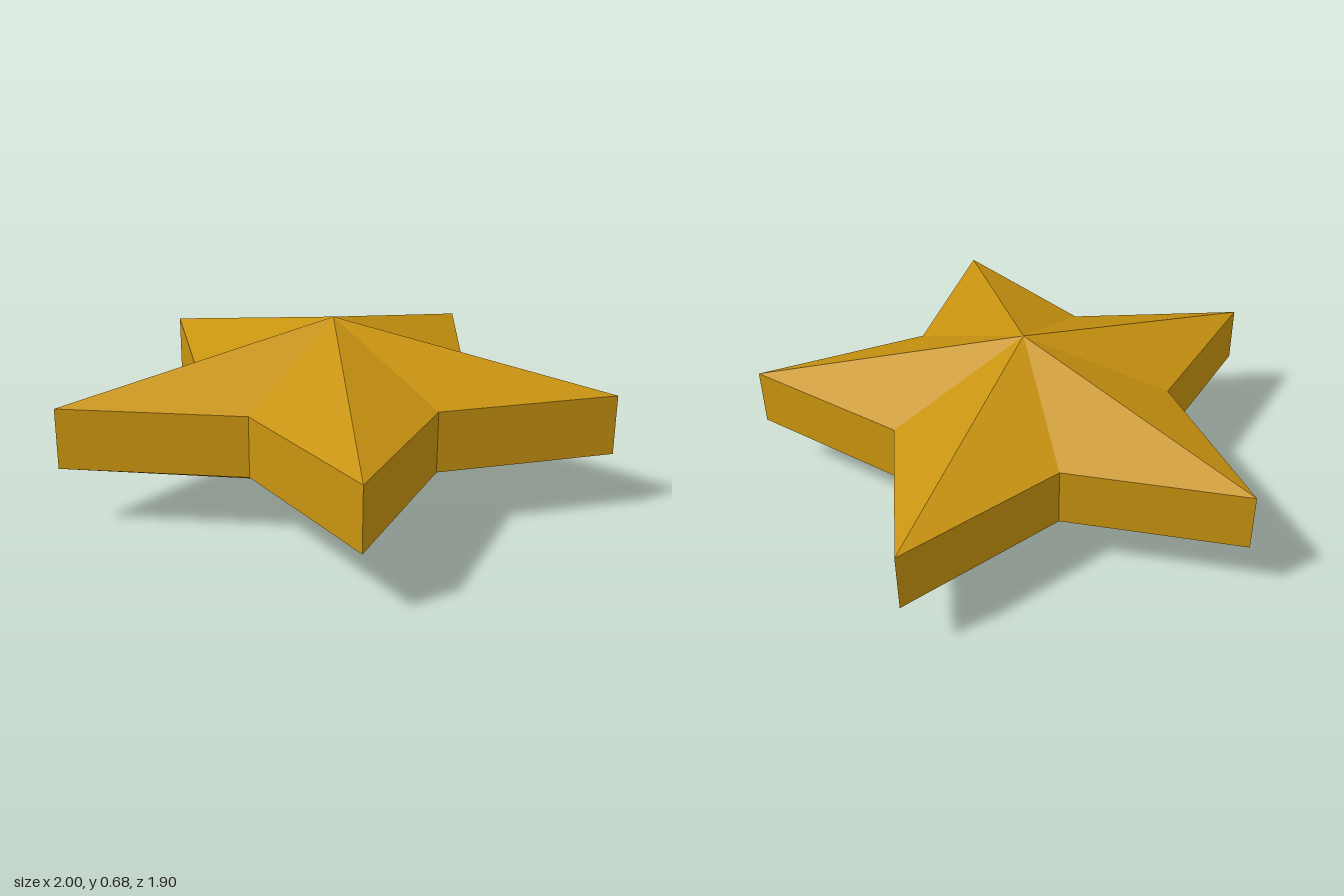
import * as THREE from 'three';

const POINTS = 5, OUTER = 1.0515, INNER = 0.557, CENTRE_Z = 0.951 - 0.8507;
const LOW = 0.225, HIGH = 0.45, TOP = 0.675;

// Corner i of the star outline, alternating tips and notches, at height y
function corner(i, y) {
  const angle = (i * Math.PI) / POINTS;
  const r = i % 2 === 0 ? OUTER : INNER;
  return [r * Math.sin(angle), y, CENTRE_Z - r * Math.cos(angle)];
}

// Collects one strip of faces per outline edge into a flat-shaded mesh
function starPart(name, material, facesForEdge) {
  const positions = [];
  for (let i = 0; i < POINTS * 2; i++) positions.push(...facesForEdge(i, i + 1).flat());
  const geometry = new THREE.BufferGeometry();
  geometry.setAttribute('position', new THREE.Float32BufferAttribute(positions, 3));
  geometry.computeVertexNormals();
  const mesh = new THREE.Mesh(geometry, material);
  mesh.name = name;
  return mesh;
}

export function createModel() {
  const gold = new THREE.MeshStandardMaterial({ color: 0xc8930f });
  gold.name = 'gold';
  const topApex = [0, TOP, CENTRE_Z];
  const bottomApex = [0, 0, CENTRE_Z];

  const star = new THREE.Group();
  star.name = 'star';
  star.add(
    // Faceted upper pyramid
    starPart('upperFacets', gold, (a, b) => [topApex, corner(b, HIGH), corner(a, HIGH)]),
    // Upright rim
    starPart('rim', gold, (a, b) => [
      corner(a, HIGH), corner(b, HIGH), corner(a, LOW),
      corner(b, HIGH), corner(b, LOW), corner(a, LOW),
    ]),
    // Faceted lower pyramid
    starPart('lowerFacets', gold, (a, b) => [bottomApex, corner(a, LOW), corner(b, LOW)]),
  );
  return star;
}
